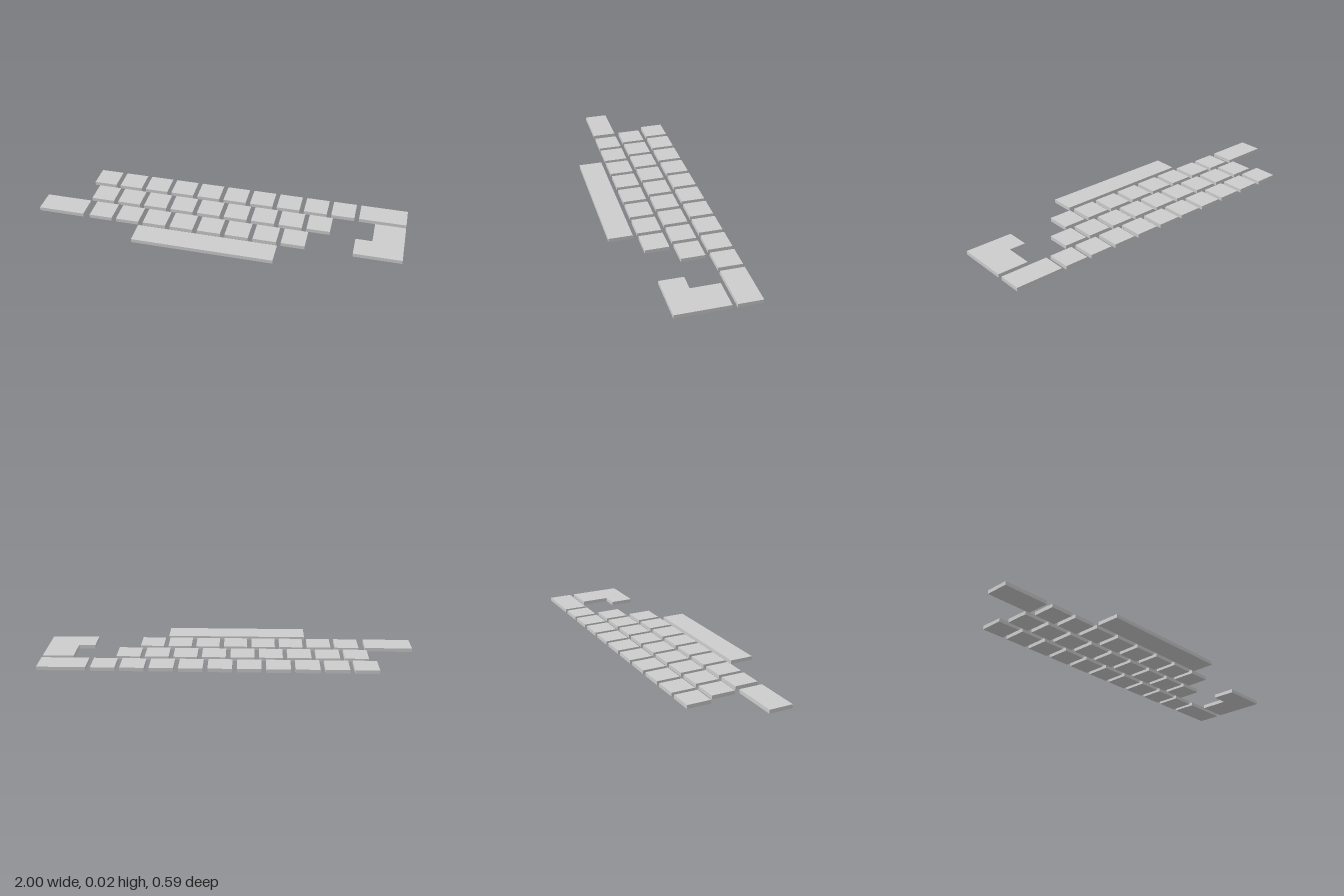
import * as THREE from 'three';

const HEIGHT = 0.02;   // key thickness
const DEPTH = 0.128;   // key size front to back, and width of a letter key
const PITCH = 0.1528;  // spacing between letter keys

export function createModel() {
  const model = new THREE.Group();
  model.name = 'keyboardKeys';
  const keyGrey = new THREE.MeshStandardMaterial({ color: 0xcccccc });
  keyGrey.name = 'keyGrey';

  // One flat rectangular key from x0 to x1, starting at back edge z0
  function addKey(name, x0, x1, z0, parent = model) {
    const key = new THREE.Mesh(new THREE.BoxGeometry(x1 - x0, HEIGHT, DEPTH), keyGrey);
    key.position.set((x0 + x1) / 2, HEIGHT / 2, z0 + DEPTH / 2);
    key.name = name;
    parent.add(key);
  }

  // Staggered rows of square keys
  const rows = [
    { name: 'topRow', x: -0.785, z: -0.295, count: 10 },
    { name: 'middleRow', x: -0.747, z: -0.141, count: 9 },
    { name: 'bottomRow', x: -0.707, z: 0.013, count: 8 },
  ];
  for (const { name, x, z, count } of rows) {
    const row = new THREE.Group();
    row.name = name;
    for (let i = 0; i < count; i++) {
      const x0 = x + i * PITCH;
      addKey('letterKey', x0, x0 + DEPTH, z, row);
    }
    model.add(row);
  }

  // Wide keys
  addKey('backspaceKey', 0.743, 1, -0.295);
  addKey('shiftKey', -1, -0.744, 0.013);
  addKey('spaceBar', -0.417, 0.348, 0.167);

  // L-shaped enter key: outline in x and -z, extruded upwards
  const outline = [[0.743, -0.141], [1, -0.141], [1, 0.141], [0.833, 0.141], [0.833, -0.013], [0.743, -0.013]];
  const shape = new THREE.Shape(outline.map(([x, y]) => new THREE.Vector2(x, y)));
  const enterGeometry = new THREE.ExtrudeGeometry(shape, { depth: HEIGHT, bevelEnabled: false });
  enterGeometry.rotateX(-Math.PI / 2);
  const enter = new THREE.Mesh(enterGeometry, keyGrey);
  enter.name = 'enterKey';
  model.add(enter);

  return model;
}
